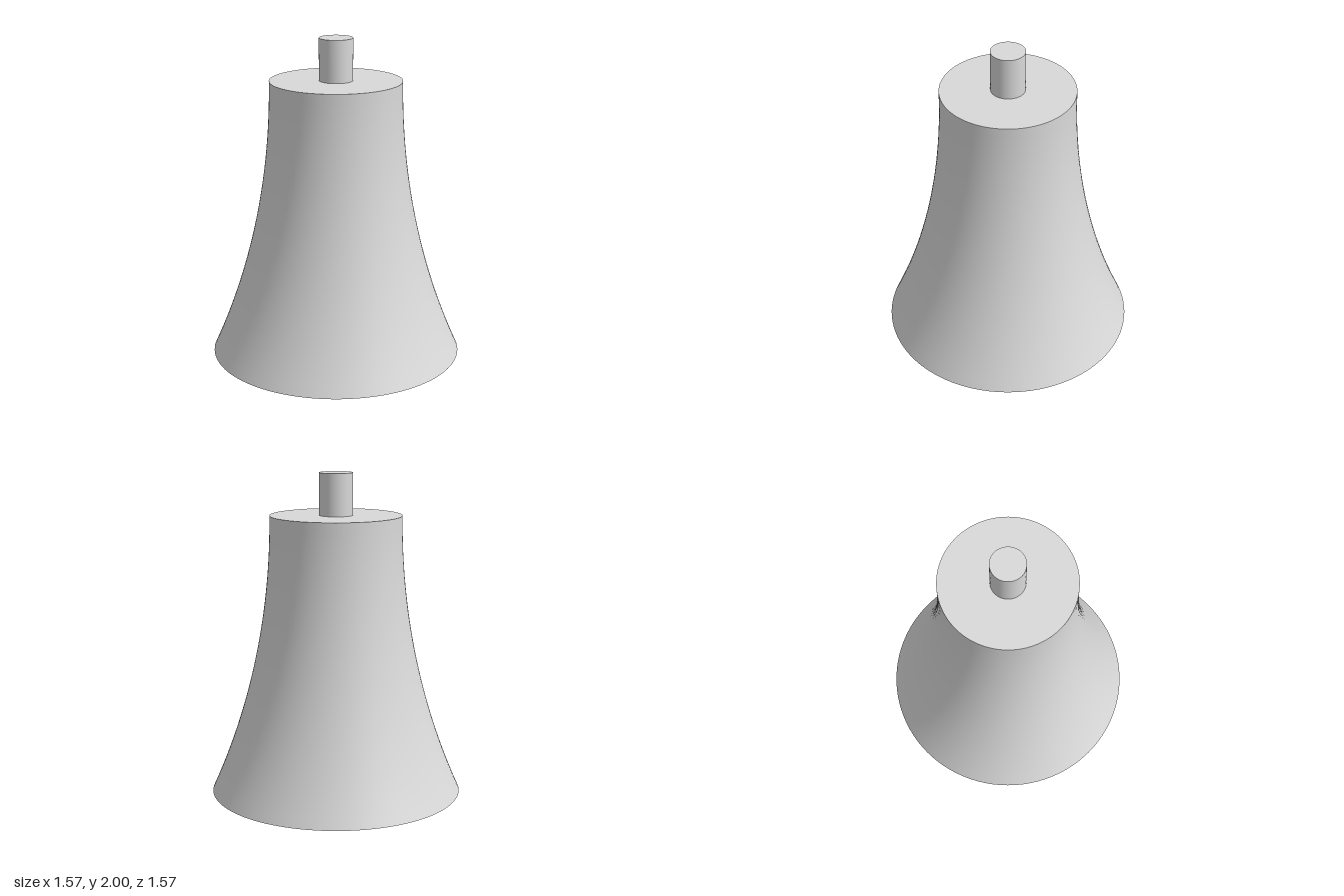
import * as THREE from 'three';
import { toCreasedNormals } from 'three/addons/utils/BufferGeometryUtils.js';

const SEGMENTS = 96;
const TOP = 1.74;        // height of the flat shoulder
const NECK = 0.407;      // outer radius at the shoulder
const CURVE = 4.214;     // radius of the flaring wall arc

// Points up the flared outer wall, an arc that is vertical at the shoulder
function wallPoints(steps = 32) {
  return Array.from({ length: steps + 1 }, (_, i) => {
    const y = (TOP * i) / steps;
    const radius = NECK + CURVE - Math.sqrt(CURVE * CURVE - (TOP - y) ** 2);
    return new THREE.Vector2(radius, y);
  });
}

export function createModel() {
  const model = new THREE.Group();
  model.name = 'bell';

  const grey = new THREE.MeshStandardMaterial({ color: 0xd9d9d9 });
  grey.name = 'light grey';

  // Hollow flared body: outer wall, shoulder, ceiling of the conical cavity, rim
  const outer = wallPoints();
  const profile = [
    ...outer,
    new THREE.Vector2(0, TOP),
    new THREE.Vector2(0, 1.61),
    new THREE.Vector2(0.28, 1.61),
    new THREE.Vector2(0.646, 0),
    outer[0].clone(),
  ];
  const bodyGeometry = toCreasedNormals(new THREE.LatheGeometry(profile, SEGMENTS), Math.PI / 6);
  const body = new THREE.Mesh(bodyGeometry, grey);
  body.name = 'flaredBody';
  model.add(body);

  // Short round stem on the shoulder
  const stemHeight = 2 - TOP;
  const stem = new THREE.Mesh(new THREE.CylinderGeometry(0.104, 0.104, stemHeight, SEGMENTS), grey);
  stem.name = 'stem';
  stem.position.y = TOP + stemHeight / 2;
  model.add(stem);

  return model;
}
